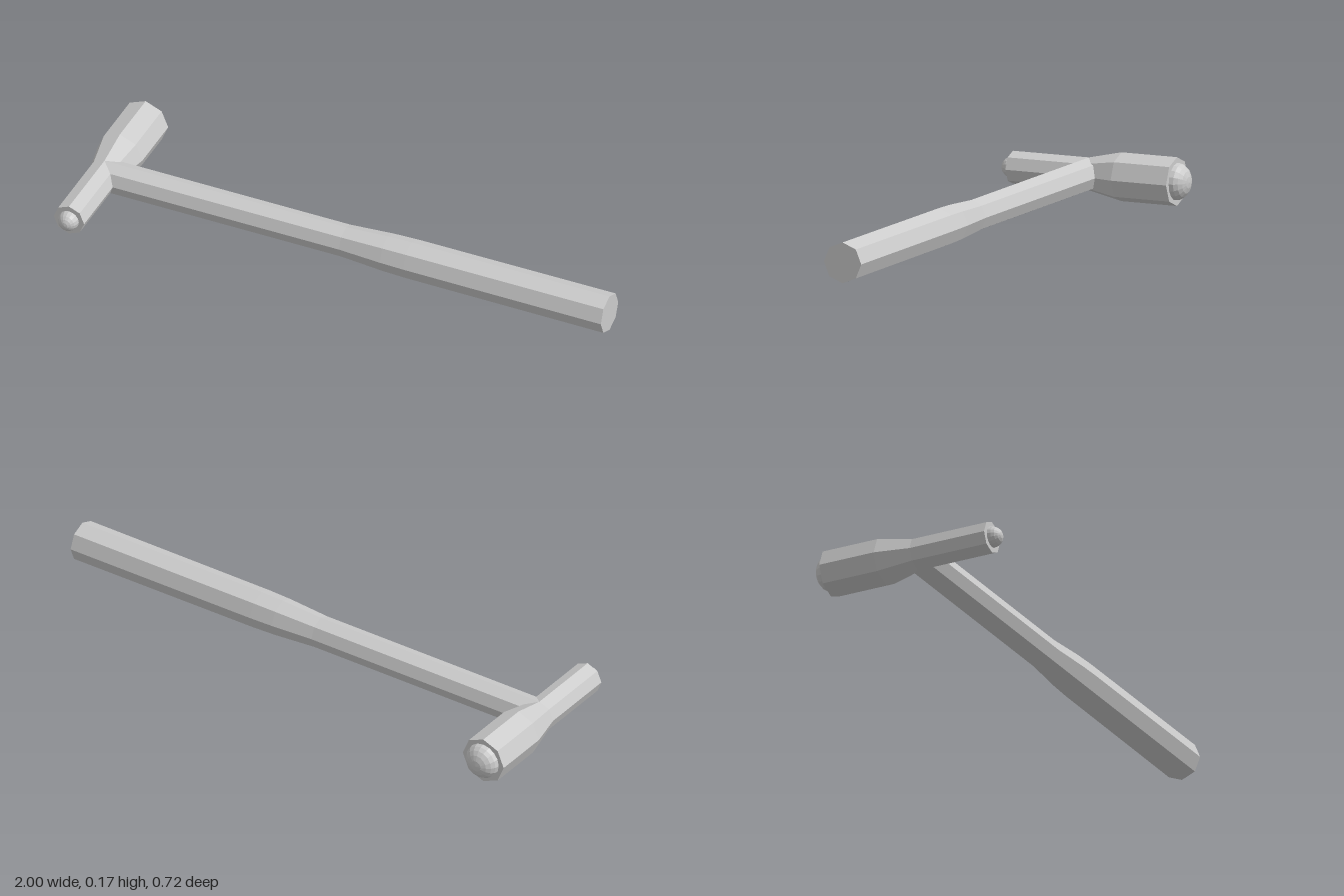
import * as THREE from 'three';

const CY = 0.088, HEAD_X = -0.915, HANDLE_Z = 0.028;

const material = new THREE.MeshStandardMaterial({
  color: 0xcccccc, flatShading: true, side: THREE.DoubleSide,
});

// Turns a [radius, height] profile about y; corners lie on the main axes
function turned(name, profile, sides) {
  const points = profile.map(([r, h]) => new THREE.Vector2(r, h));
  const mesh = new THREE.Mesh(new THREE.LatheGeometry(points, sides), material);
  mesh.name = name;
  return mesh;
}

// Profile of a rounded tip, from rim to pole
function domeProfile(radius, depth, steps = 5) {
  return Array.from({ length: steps + 1 }, (_, i) => {
    const a = (i / steps) * Math.PI / 2;
    return [radius * Math.cos(a), depth * Math.sin(a)];
  });
}

export function createModel() {
  const model = new THREE.Group();
  model.name = 'reflexHammer';

  // Octagonal handle, thicker at the grip, running along +x
  const handle = turned('handle', [
    [0, HEAD_X], [0.0575, HEAD_X], [0.0575, 0], [0.0675, 0.16], [0.07, 0.25], [0.0715, 1], [0, 1],
  ], 8);
  handle.rotation.z = -Math.PI / 2;
  handle.position.set(0, CY, HANDLE_Z);
  model.add(handle);

  // Head along z: slim barrel in front, wide barrel behind
  const head = new THREE.Group();
  head.name = 'head';
  head.rotation.x = Math.PI / 2;
  head.position.set(HEAD_X, CY, 0);
  head.add(turned('headBarrel', [
    [0, -0.31], [0.0855, -0.31], [0.0855, -0.097], [0.0575, HANDLE_Z], [0.0575, 0.32], [0, 0.32],
  ], 8));

  // Rounded striking tips
  const smallTip = turned('smallTip', domeProfile(0.0375, 0.04), 16);
  smallTip.position.y = 0.32;
  const largeTip = turned('largeTip', domeProfile(0.065, 0.048), 16);
  largeTip.rotation.x = Math.PI;
  largeTip.position.y = -0.31;
  head.add(smallTip, largeTip);

  model.add(head);
  return model;
}
